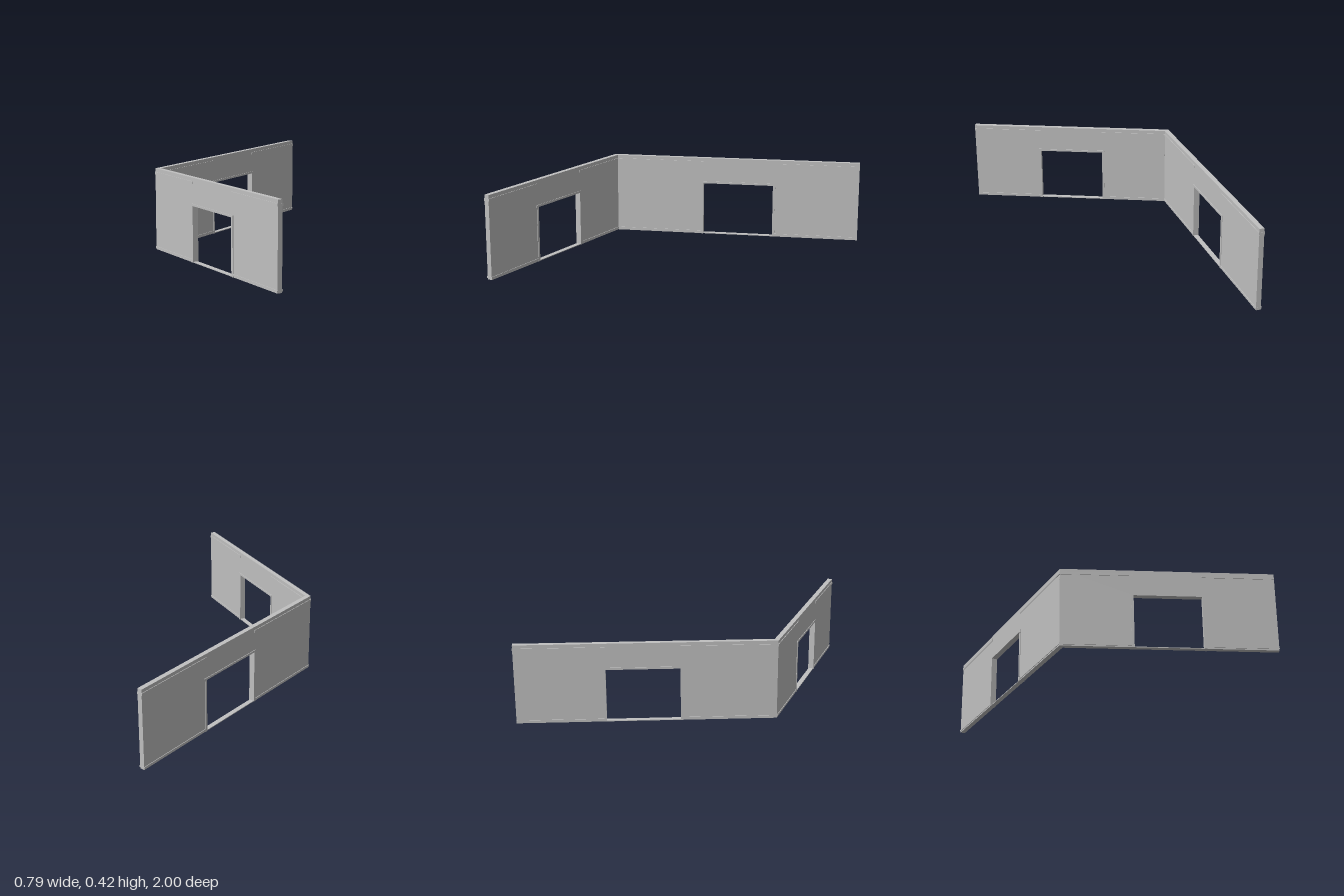
import * as THREE from 'three';

const H = 0.424;      // wall height
const T = 0.0125;     // half thickness
const P = 0.003;      // how far mouldings stand proud
const DOOR = 0.284;   // opening height
const CASE = 0.013;   // casing width
const MITRE = 0.666;  // slope of the corner joint

export function createModel() {
  const grey = new THREE.MeshStandardMaterial({ color: 0xc0c0c0 });
  grey.name = 'plasterGrey';
  const model = new THREE.Group();
  model.name = 'cornerWalls';

  // One wall from the shared corner to its free end, opening centred at "mid"
  function wall(name, corner, end, mid, half, side) {
    const dx = end[0] - corner[0], dz = end[1] - corner[1];
    const L = Math.hypot(dx, dz);
    const g = new THREE.Group();
    g.name = name;
    g.position.set(corner[0], 0, corner[1]);
    g.rotation.y = -Math.atan2(dz, dx);

    // Add a mesh, shearing any end that starts at the corner into a mitre
    const add = (part, geo) => {
      const p = geo.attributes.position;
      for (let i = 0; i < p.count; i++) {
        if (Math.abs(p.getX(i)) < 1e-5) p.setX(i, side * MITRE * p.getZ(i));
      }
      geo.computeVertexNormals();
      const m = new THREE.Mesh(geo, grey);
      m.name = part;
      g.add(m);
    };
    const box = (part, x0, x1, y0, y1, d) => add(part,
      new THREE.BoxGeometry(x1 - x0, y1 - y0, 2 * d).translate((x0 + x1) / 2, (y0 + y1) / 2, 0));

    // Wall panel with a notch for the doorway
    const a = mid - half, b = mid + half, e = 0.005;
    const shape = new THREE.Shape([
      [0, 0], [a - e, 0], [a - e, DOOR + e], [b + e, DOOR + e], [b + e, 0], [L, 0], [L, H], [0, H],
    ].map(([x, y]) => new THREE.Vector2(x, y)));
    add('wallPanel', new THREE.ExtrudeGeometry(shape, { depth: 2 * T, bevelEnabled: false }).translate(0, 0, -T));

    // Door casing and threshold
    box('leftCasing', a - CASE, a, 0, DOOR + 0.011, T + P);
    box('rightCasing', b, b + CASE, 0, DOOR + 0.011, T + P);
    box('headCasing', a, b, DOOR, DOOR + 0.011, T + P);
    box('threshold', a, b, 0, 0.004, T);

    // Rails on both faces, low ones stopping at the casing
    box('innerBaseRail', 0, a - CASE, 0.007, 0.016, T + P);
    box('outerBaseRail', b + CASE, L + 0.001, 0.007, 0.016, T + P);
    box('innerTopRail', 0, a, 0.393, 0.406, T + P);
    box('outerTopRail', b, L + 0.001, 0.393, 0.406, T + P);
    model.add(g);
  }

  const corner = [-0.376, 0.229];
  wall('shortWall', corner, [0.381, 0.99], 0.532, 0.172, -1);
  wall('longWall', corner, [0.121, -0.995], 0.673, 0.189, 1);
  return model;
}
